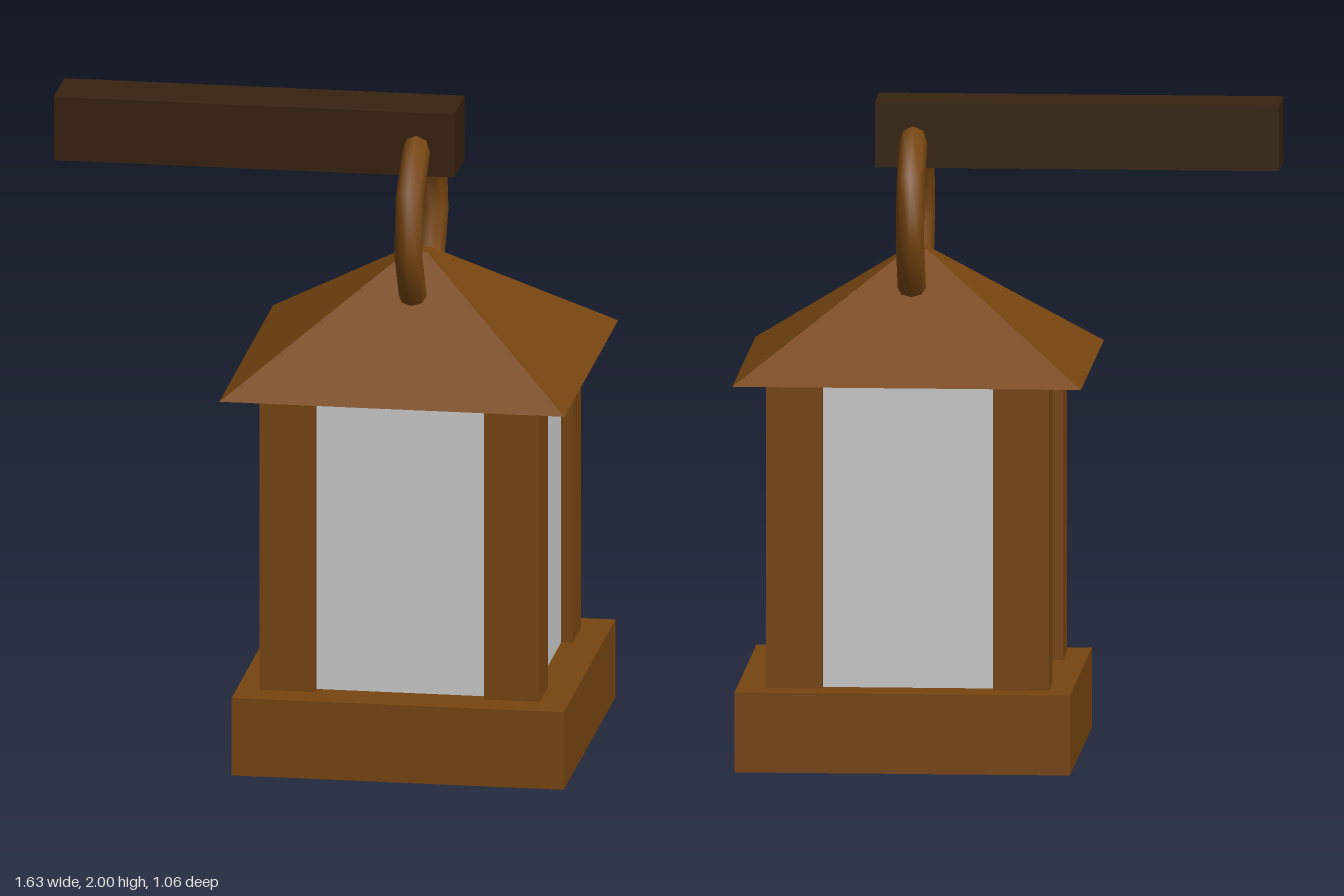
import * as THREE from 'three';

export function createModel() {
  const model = new THREE.Group();
  const wood = new THREE.MeshStandardMaterial({ color: 0x774510, flatShading: true });
  const metal = new THREE.MeshStandardMaterial({ color: 0x774510 });
  const darkWood = new THREE.MeshStandardMaterial({ color: 0x37220f, flatShading: true });
  const glass = new THREE.MeshStandardMaterial({ color: 0xcccccc });

  const add = (name, geometry, material, x, y, z, parent = model) => {
    const mesh = new THREE.Mesh(geometry, material);
    mesh.name = name;
    mesh.position.set(x, y, z);
    parent.add(mesh);
    return mesh;
  };

  // Beam the lantern hangs from
  add('beam', new THREE.BoxGeometry(1.23, 0.2, 0.205), darkWood, -0.205, 1.9, 0);

  // Lantern body, offset towards the end of the beam
  const lantern = new THREE.Group();
  lantern.name = 'lantern';
  lantern.position.x = 0.29;
  model.add(lantern);

  add('base', new THREE.BoxGeometry(1.02, 0.245, 1.02), wood, 0.01, 0.1225, 0, lantern);
  add('glassPanes', new THREE.BoxGeometry(0.79, 0.94, 0.75), glass, 0, 0.715, 0, lantern);

  // Corner posts
  const post = new THREE.BoxGeometry(0.17, 0.942, 0.17);
  for (const sx of [-1, 1]) {
    for (const sz of [-1, 1]) {
      add('cornerPost', post, wood, sx * 0.345, 0.715, sz * 0.325, lantern);
    }
  }

  // Pyramid roof with a small flat tip
  const roof = new THREE.CylinderGeometry(0.03 * Math.SQRT2, 0.53 * Math.SQRT2, 0.355, 4);
  roof.rotateY(Math.PI / 4);
  add('roof', roof, wood, -0.005, 1.3625, 0, lantern);

  // Nine-sided ring joining roof and beam, one corner pointing down
  const ring = new THREE.TorusGeometry(0.262, 0.043, 8, 9);
  ring.rotateZ(-Math.PI / 2).rotateY(Math.PI / 2);
  add('hangingRing', ring, metal, 0.003, 1.64, 0, lantern);

  return model;
}
